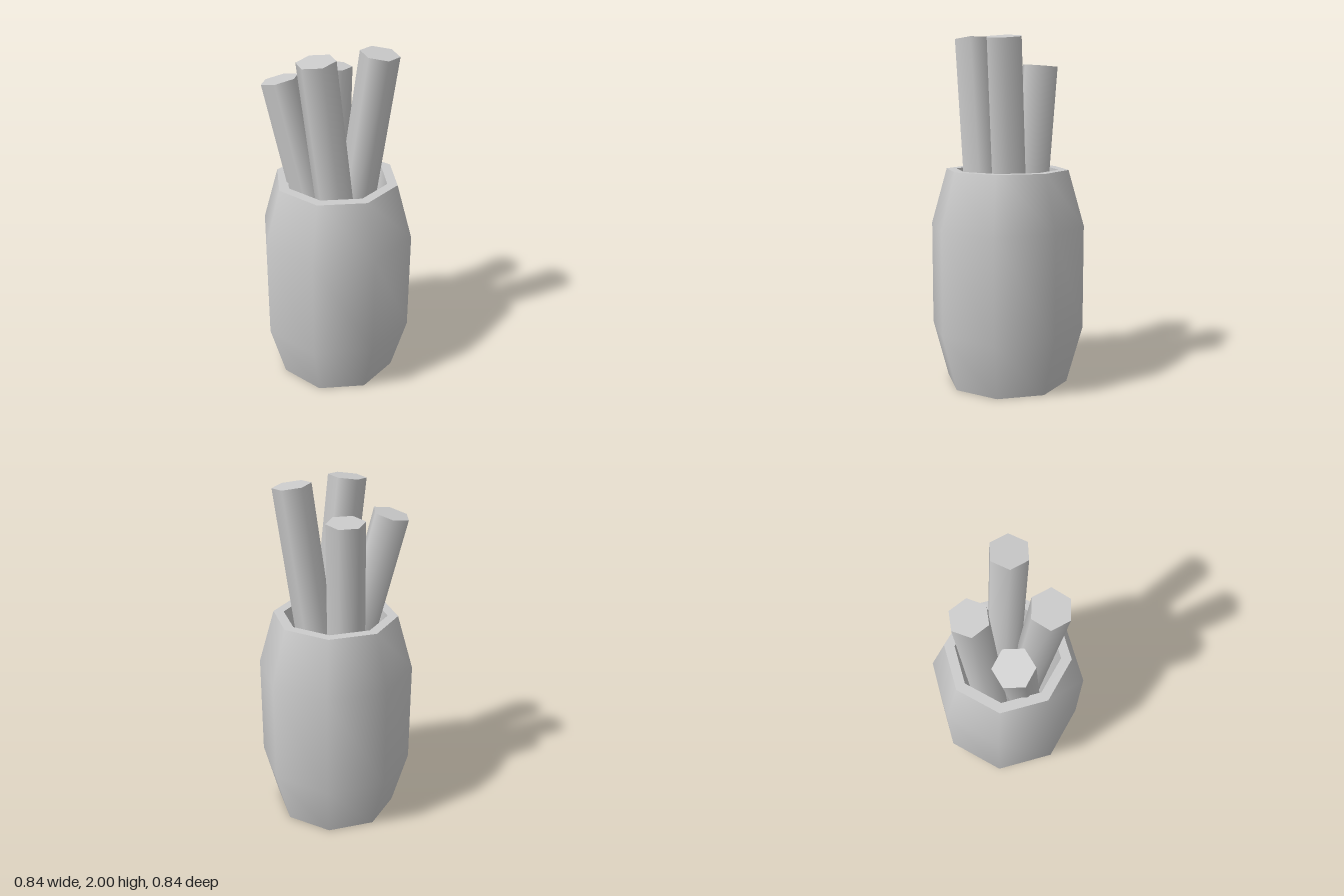
import * as THREE from 'three';

const material = new THREE.MeshStandardMaterial({ color: 0xcccccc });

// Octagonal band of the barrel, swept from a [radius, height] profile
function band(name, profile) {
  const points = profile.map(([r, y]) => new THREE.Vector2(r, y));
  const mesh = new THREE.Mesh(new THREE.LatheGeometry(points, 8, 0.455), material);
  mesh.name = name;
  return mesh;
}

// Six-sided rod between two end centres, turned about its own axis
function rod(name, bottom, top, turn) {
  const a = new THREE.Vector3(...bottom);
  const b = new THREE.Vector3(...top);
  const axis = b.clone().sub(a);
  const geometry = new THREE.CylinderGeometry(0.107, 0.107, axis.length(), 6);
  geometry.rotateY(THREE.MathUtils.degToRad(turn));
  const mesh = new THREE.Mesh(geometry, material);
  mesh.name = name;
  mesh.quaternion.setFromUnitVectors(new THREE.Vector3(0, 1, 0), axis.normalize());
  mesh.position.copy(a).add(b).multiplyScalar(0.5);
  return mesh;
}

export function createModel() {
  const model = new THREE.Group();
  model.name = 'barrelWithRods';

  // Hollow barrel, separate bands keep the rims sharp
  const barrel = new THREE.Group();
  barrel.name = 'barrel';
  barrel.add(
    band('outerWall', [[0.355, 0], [0.446, 0.33], [0.446, 0.93], [0.355, 1.25]]),
    band('topRim', [[0.355, 1.25], [0.296, 1.25]]),
    band('innerWall', [[0.296, 1.25], [0.23, 0.08]]),
    band('recessedBase', [[0.23, 0.08], [0.355, 0]])
  );

  // Rods leaning outward from the middle of the barrel
  const rods = new THREE.Group();
  rods.name = 'rods';
  rods.add(
    rod('frontRod', [0.06, 0.5, 0.12], [-0.11, 1.987, 0.183], 17),
    rod('leftRod', [0.035, 0.48, -0.03], [0.225, 1.985, 0.055], 20.5),
    rod('rightRod', [-0.01, 0.5, 0.095], [-0.302, 1.822, -0.035], 49),
    rod('backRod', [-0.045, 0.5, -0.105], [-0.01, 1.838, -0.194], 26)
  );

  model.add(barrel, rods);
  return model;
}
